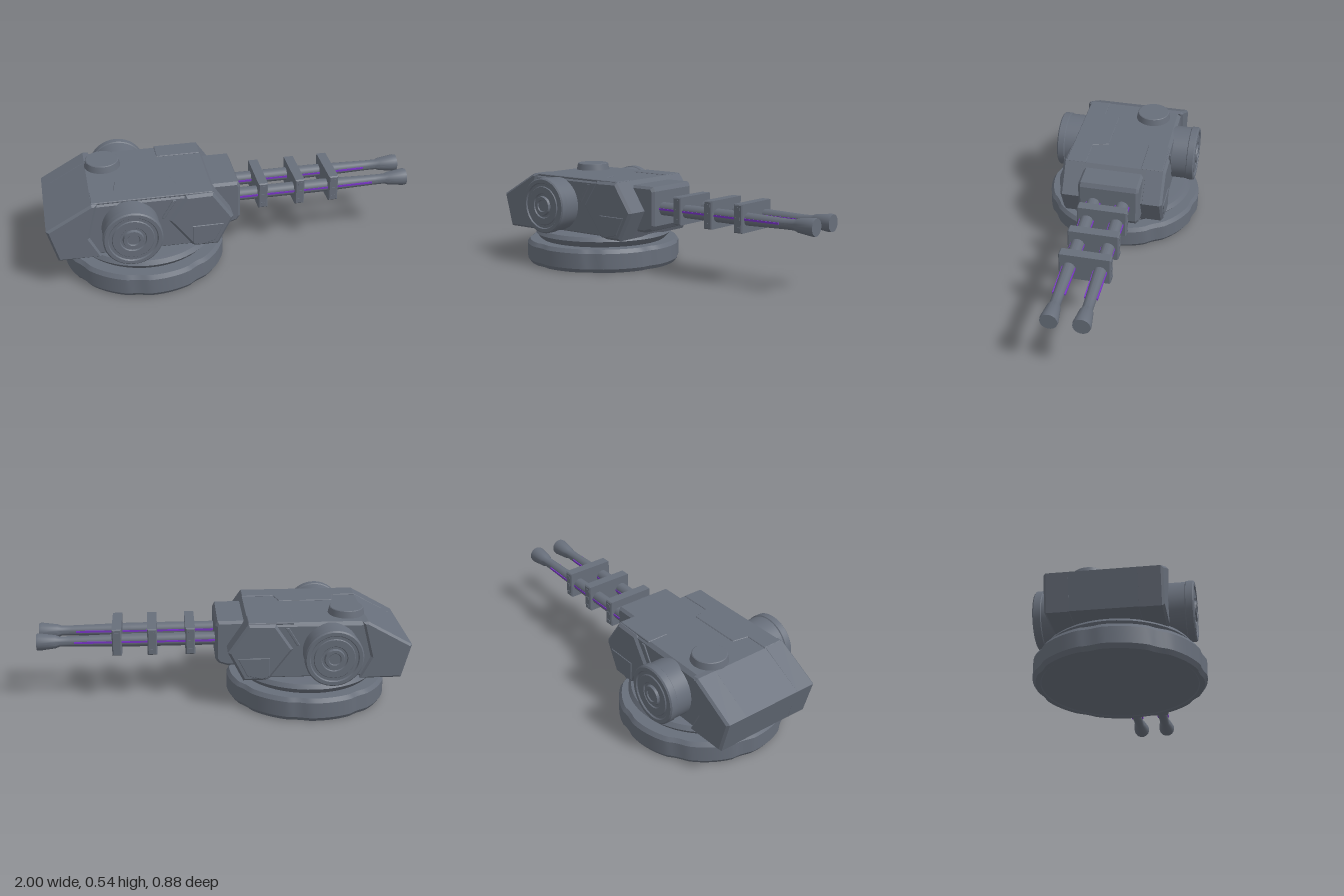
import * as THREE from 'three';
import { toCreasedNormals } from 'three/addons/utils/BufferGeometryUtils.js';

const steel = new THREE.MeshStandardMaterial({ color: 0x676e7a });
steel.name = 'steel grey';
const violet = new THREE.MeshStandardMaterial({ color: 0x7a35c8 });
violet.name = 'violet glow';

const MID = -0.005; // centre plane of the gun house

function add(parent, name, geometry, material = steel) {
  const mesh = new THREE.Mesh(geometry, material);
  mesh.name = name;
  parent.add(mesh);
  return mesh;
}

// Side outline (x, y) extruded from z0 to z1 with chamfered edges
function slab(points, z0, z1, bevel = 0.01) {
  const shape = new THREE.Shape(points.map(([x, y]) => new THREE.Vector2(x, y)));
  const g = new THREE.ExtrudeGeometry(shape, {
    depth: z1 - z0 - 2 * bevel, bevelEnabled: bevel > 0, bevelThickness: bevel,
    bevelSize: bevel, bevelOffset: -bevel, bevelSegments: 1,
  });
  return g.translate(0, 0, z0 + bevel);
}

// Top outline (x, z) raised from y0 to y1
function topPlate(points, y0, y1) {
  const g = slab(points.map(([x, z]) => [x, -z]), 0, y1 - y0, 0.003);
  return g.rotateX(-Math.PI / 2).translate(0, y0, 0);
}

// Profile (radius, height) turned around y, keeping its edges sharp
function turned(points, segments = 48) {
  return toCreasedNormals(
    new THREE.LatheGeometry(points.map(([r, y]) => new THREE.Vector2(r, y)), segments), 0.5);
}

function buildBase(root) {
  const base = new THREE.Group();
  base.name = 'base';
  base.position.x = -0.47;
  root.add(base);

  // Ring foot with shallow hollows around the rim
  const foot = new THREE.LatheGeometry([
    [0, 0.004], [0.395, 0.004], [0.4, 0], [0.425, 0], [0.44, 0.022], [0.44, 0.108],
    [0.425, 0.13], [0, 0.13]].map(([r, y]) => new THREE.Vector2(r, y)), 120);
  const p = foot.attributes.position;
  for (let i = 0; i < p.count; i++) {
    const x = p.getX(i), z = p.getZ(i), r = Math.hypot(x, z);
    if (r < 0.41) continue;
    const step = Math.PI / 4;
    const a = Math.atan2(z, x) - 0.2;
    const d = Math.abs(a - Math.round(a / step) * step);
    const k = 1 - 0.02 * Math.max(0, 1 - (d / 0.12) ** 2);
    p.setX(i, x * k);
    p.setZ(i, z * k);
  }
  add(base, 'footRing', toCreasedNormals(foot, 0.5));
  add(base, 'turntable', turned([[0.35, 0.125], [0.365, 0.136], [0.39, 0.165],
    [0.375, 0.188], [0.34, 0.192], [0, 0.192]], 64));
}

function buildHouse(root) {
  const house = new THREE.Group();
  house.name = 'gunHouse';
  root.add(house);

  add(house, 'hull', slab([[-1, 0.365], [-0.95, 0.18], [-0.1, 0.18], [-0.02, 0.34],
    [-0.125, 0.498], [-0.76, 0.498]], MID - 0.275, MID + 0.275, 0.018));

  // Side armour: front cheeks and rear quarters, mirrored
  const cheek = [[-0.27, 0.495], [-0.365, 0.355], [-0.235, 0.18], [-0.1, 0.18],
    [-0.018, 0.34], [-0.125, 0.498]];
  const quarter = [[-1, 0.365], [-0.95, 0.178], [-0.72, 0.178], [-0.78, 0.3],
    [-0.73, 0.498], [-0.76, 0.5]];
  const lowerPanel = [[-0.24, 0.31], [-0.24, 0.205], [-0.2, 0.19], [-0.12, 0.21], [-0.07, 0.31]];
  const strake = [[-0.34, 0.475], [-0.4, 0.375], [-0.385, 0.37], [-0.32, 0.475]];
  for (const s of [1, -1]) {
    const side = s > 0 ? 'left' : 'right';
    const between = (a, b) => (s > 0 ? [MID + a, MID + b] : [MID - b, MID - a]);
    add(house, side + 'Cheek', slab(cheek, ...between(0.165, 0.288), 0.014));
    add(house, side + 'Quarter', slab(quarter, ...between(0.155, 0.287), 0.012));
    add(house, side + 'LowerPanel', slab(lowerPanel, ...between(0.28, 0.292), 0.003));
    add(house, side + 'Strake', slab(strake, ...between(0.265, 0.281), 0.003));

    // Round side drum with stepped rings on its face
    const drum = add(house, side + 'Drum', turned([[0.15, 0], [0.15, 0.1], [0.155, 0.104],
      [0.155, 0.138], [0.148, 0.145], [0.13, 0.145], [0.125, 0.138], [0.11, 0.138],
      [0.106, 0.143], [0.07, 0.143], [0.066, 0.137], [0.055, 0.137], [0.05, 0.15],
      [0.034, 0.15], [0.03, 0.144], [0, 0.144]]).rotateX(s * Math.PI / 2));
    drum.position.set(-0.565, 0.345, MID + s * 0.26);
  }

  // Roof plates leave a notched seam on one side and a stepped one on the other
  add(house, 'roofPlateLeft', topPlate([[-0.76, 0.155], [-0.635, 0.155], [-0.62, 0.068],
    [-0.325, 0.068], [-0.3, 0.155], [-0.125, 0.155], [-0.125, 0.265], [-0.76, 0.265]], 0.49, 0.502));
  add(house, 'roofPlateRight', topPlate([[-0.365, -0.275], [-0.125, -0.275],
    [-0.125, -0.155], [-0.365, -0.155]], 0.49, 0.502));

  const hatch = add(house, 'roofHatch', turned([[0.098, 0], [0.09, 0.037], [0.086, 0.04], [0, 0.04]]));
  hatch.position.set(-0.665, 0.496, -0.128);
}

function buildGuns(root) {
  const guns = new THREE.Group();
  guns.name = 'twinGuns';
  root.add(guns);

  // Mantlet block carrying the barrels
  add(guns, 'mantlet', slab([[-0.14, 0.475], [-0.14, 0.22], [-0.02, 0.22], [0.025, 0.235],
    [0.042, 0.26], [0.042, 0.45], [0.03, 0.475]], MID - 0.168, MID + 0.168, 0.014));

  // Barrel clamps
  for (const x of [0.175, 0.38, 0.57]) {
    add(guns, 'clamp', slab([[x - 0.026, 0.28], [x + 0.026, 0.28], [x + 0.026, 0.43],
      [x - 0.026, 0.43]], MID - 0.136, MID + 0.136, 0.006));
    for (const s of [1, -1]) for (const y of [0.305, 0.355, 0.405]) {
      const bolt = add(guns, 'clampBolt', new THREE.BoxGeometry(0.022, 0.016, 0.006));
      bolt.position.set(x, y, MID + s * 0.136);
    }
  }

  // Barrels with flared muzzles and glowing side seams
  for (const s of [1, -1]) {
    const barrel = new THREE.Group();
    barrel.name = s > 0 ? 'leftBarrel' : 'rightBarrel';
    barrel.position.set(0, 0.35, MID + s * 0.081);
    guns.add(barrel);
    add(barrel, 'tube', turned([[0.036, 0], [0.036, 0.5], [0.028, 0.82], [0.028, 0.88],
      [0.036, 0.9], [0.047, 0.985], [0.045, 1], [0, 1]], 24).rotateZ(-Math.PI / 2));
    for (const t of [1, -1]) {
      const seam = add(barrel, 'glowSeam', new THREE.BoxGeometry(0.76, 0.01, 0.008), violet);
      seam.position.set(0.42, 0.002, t * 0.0335);
      seam.rotation.y = t * 0.008;
    }
  }
}

export function createModel() {
  const root = new THREE.Group();
  root.name = 'twinGunTurret';
  buildBase(root);
  buildHouse(root);
  buildGuns(root);
  return root;
}
